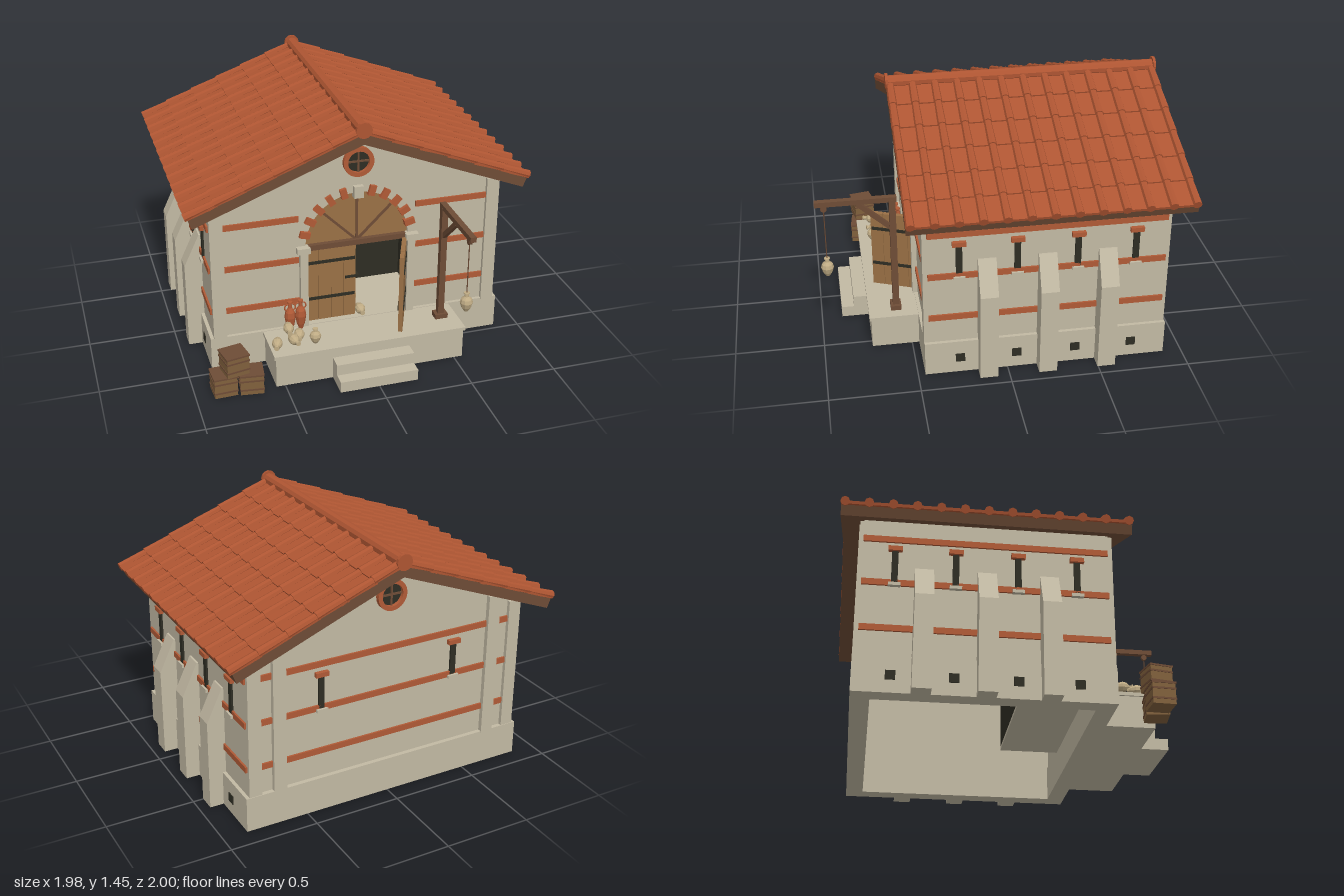
import * as THREE from 'three';

const mat = (name, color, extra = {}) => {
  const m = new THREE.MeshStandardMaterial({ color, ...extra });
  m.name = name;
  return m;
};

export function createModel() {
  const stone = mat('stone', 0xc2b9a3);
  const terracotta = mat('terracotta', 0xb05a36, { flatShading: true });
  const tile = mat('roofTile', 0xae5532, { flatShading: true });
  const timber = mat('timber', 0x6e4c36);
  const wood = mat('doorWood', 0x9a7045);
  const crateWood = mat('crateWood', 0x80603c);
  const clay = mat('paleClay', 0xbfab84, { flatShading: true });
  const dark = mat('dark', 0x2e2d23, { side: THREE.DoubleSide });

  const root = new THREE.Group();
  root.name = 'warehouse';
  const group = (name, parent = root) => {
    const g = new THREE.Group();
    g.name = name;
    parent.add(g);
    return g;
  };
  const add = (parent, name, geo, m, x = 0, y = 0, z = 0) => {
    const mesh = new THREE.Mesh(geo, m);
    mesh.name = name;
    mesh.position.set(x, y, z);
    parent.add(mesh);
    return mesh;
  };
  const box = (parent, name, m, sx, sy, sz, x, y, z) =>
    add(parent, name, new THREE.BoxGeometry(sx, sy, sz), m, x, y, z);
  const extrude = (shape, depth) => new THREE.ExtrudeGeometry(shape, { depth, bevelEnabled: false, curveSegments: 20 });

  // Hollow walls: gables front and back, plain sides
  const walls = group('walls');
  const gable = (door) => {
    const s = new THREE.Shape();
    s.moveTo(-0.84, 0.19);
    if (door) {
      s.lineTo(-0.3, 0.19);
      s.lineTo(-0.3, 0.69);
      s.absarc(0, 0.69, 0.3, Math.PI, 0, true);
      s.lineTo(0.3, 0.19);
    }
    s.lineTo(0.84, 0.19);
    s.lineTo(0.84, 1.0);
    s.lineTo(0, 1.34);
    s.lineTo(-0.84, 1.0);
    s.closePath();
    return extrude(s, 0.07);
  };
  add(walls, 'frontWall', gable(true), stone, 0, 0, 0.37);
  add(walls, 'backWall', gable(false), stone, 0, 0, -0.87);
  box(walls, 'frontPlinth', stone, 1.72, 0.2, 0.1, 0, 0.1, 0.41);
  box(walls, 'backPlinth', stone, 1.72, 0.2, 0.1, 0, 0.1, -0.845);
  for (const s of [-1, 1]) {
    box(walls, 'sideWall', stone, 0.07, 0.82, 1.19, s * 0.805, 0.59, -0.215);
    box(walls, 'sidePlinth', stone, 0.1, 0.2, 1.16, s * 0.81, 0.1, -0.215);
    box(walls, 'frontPilaster', stone, 0.075, 0.79, 0.03, s * 0.8025, 0.585, 0.446);
    box(walls, 'cornerPilaster', stone, 0.075, 0.79, 0.03, s * 0.8025, 0.585, -0.876);
    box(walls, 'backPilaster', stone, 0.075, 0.86, 0.03, s * 0.66, 0.61, -0.881);
  }

  // Brick bands
  for (const y of [0.36, 0.62, 0.875]) {
    box(root, 'backBand', terracotta, 1.53, 0.034, 0.02, 0, y, -0.871);
    for (const s of [-1, 1]) {
      box(root, 'frontBand', terracotta, 0.425, 0.034, 0.02, s * 0.5525, y, 0.441);
      box(root, 'sideBand', terracotta, 0.02, 0.034, 1.305, s * 0.841, y, -0.2175);
    }
  }

  // Buttresses, slit windows and plinth vents along both sides
  const buttress = new THREE.Shape([[0.82, 0], [0.94, 0], [0.94, 0.52], [0.85, 0.71], [0.82, 0.71]]
    .map((p) => new THREE.Vector2(...p)));
  const buttressGeo = extrude(buttress, 0.1).translate(0, 0, -0.05);
  const slit = (parent, x, z, ry) => {
    const g = group('slitWindow', parent);
    g.position.set(x, 0, z);
    g.rotation.y = ry;
    box(g, 'slit', dark, 0.034, 0.2, 0.016, 0, 0.715, 0.003);
    box(g, 'slitLintel', terracotta, 0.075, 0.026, 0.04, 0, 0.818, 0.004);
    box(g, 'slitSill', stone, 0.065, 0.018, 0.04, 0, 0.608, 0.004);
  };
  for (const s of [-1, 1]) {
    for (const z of [0.115, -0.215, -0.545]) {
      const b = add(root, 'buttress', buttressGeo, stone, 0, 0, z);
      b.rotation.y = s > 0 ? 0 : Math.PI;
    }
    for (const z of [0.265, -0.05, -0.38, -0.7]) {
      slit(root, s * 0.84, z, s * Math.PI / 2);
      box(root, 'vent', dark, 0.008, 0.05, 0.052, s * 0.861, 0.095, z);
    }
    slit(root, s * 0.41, -0.87, Math.PI);
  }

  // Round gable windows
  for (const [z, ry] of [[0.44, 0], [-0.87, Math.PI]]) {
    const g = group('roundWindow');
    g.position.set(0, 1.18, z);
    g.rotation.y = ry;
    const ring = new THREE.Shape().absarc(0, 0, 0.087, 0, Math.PI * 2);
    ring.holes.push(new THREE.Path().absarc(0, 0, 0.062, 0, Math.PI * 2));
    add(g, 'windowRing', extrude(ring, 0.025), terracotta);
    add(g, 'windowGlass', new THREE.CircleGeometry(0.065, 24), dark, 0, 0, 0.004);
    box(g, 'windowBar', timber, 0.01, 0.125, 0.008, 0, 0, 0.01);
    box(g, 'windowBar', timber, 0.125, 0.01, 0.008, 0, 0, 0.01);
  }

  // Dark room behind the doorway
  const room = group('room');
  box(room, 'roomFloor', stone, 0.8, 0.02, 0.37, 0, 0.19, 0.2);
  box(room, 'roomBack', dark, 0.8, 0.8, 0.01, 0, 0.6, 0.02);
  box(room, 'roomCeiling', dark, 0.8, 0.01, 0.35, 0, 1.0, 0.195);
  for (const s of [-1, 1]) box(room, 'roomSide', dark, 0.01, 0.8, 0.35, s * 0.4, 0.6, 0.195);

  // Doorway: leaves, lintel, fanlight, jambs and arch blocks
  const doorway = group('doorway');
  for (const s of [-1, 1]) {
    const leaf = group('doorLeaf', doorway);
    leaf.position.set(s * 0.295, 0, 0.41);
    leaf.rotation.y = s > 0 ? 1.18 : 0;
    for (let i = 0; i < 4; i++) box(leaf, 'plank', wood, 0.071, 0.475, 0.025, -s * (0.037 + i * 0.0735), 0.4375, 0);
    for (const y of [0.345, 0.575]) box(leaf, 'strap', dark, 0.275, 0.018, 0.036, -s * 0.15, y, 0);
    if (s < 0) box(leaf, 'latch', dark, 0.08, 0.014, 0.04, 0.27, 0.456, 0);
    box(doorway, 'jamb', stone, 0.045, 0.48, 0.09, s * 0.315, 0.43, 0.425);
    box(doorway, 'impost', stone, 0.075, 0.035, 0.1, s * 0.318, 0.683, 0.43);
  }
  box(doorway, 'lintel', timber, 0.57, 0.032, 0.06, 0, 0.685, 0.422);
  const fan = new THREE.Shape().absarc(0, 0, 0.3, 0, Math.PI);
  fan.closePath();
  add(doorway, 'fanlight', extrude(fan, 0.03), wood, 0, 0.69, 0.395);
  for (const a of [-0.79, 0, 0.79]) {
    const spoke = box(doorway, 'fanSpoke', timber, 0.013, 0.28, 0.012, -Math.sin(a) * 0.14, 0.69 + Math.cos(a) * 0.14, 0.428);
    spoke.rotation.z = a;
  }
  for (let i = 1; i <= 11; i++) {
    const a = i * Math.PI / 12, key = i === 6, r = key ? 0.31 : 0.316;
    const b = box(doorway, key ? 'keystone' : 'archBlock', key ? stone : terracotta, key ? 0.07 : 0.06, key ? 0.055 : 0.038,
      key ? 0.06 : 0.04, Math.cos(a) * r, 0.69 + Math.sin(a) * r, 0.44);
    b.rotation.z = a;
  }

  // Loading platform and steps
  const platform = group('platform');
  box(platform, 'platformBase', stone, 1.1, 0.18, 0.27, 0, 0.09, 0.592);
  box(platform, 'platformSlab', stone, 1.12, 0.02, 0.28, 0, 0.187, 0.597);
  box(platform, 'upperStep', stone, 0.45, 0.13, 0.11, 0, 0.065, 0.755);
  box(platform, 'lowerStep', stone, 0.45, 0.065, 0.16, 0, 0.0325, 0.802);

  // Roof slopes with overlapping courses and round cover tiles
  const roof = group('roof');
  const slopeLen = 1.04, tilt = 0.375, depth = 1.545, courses = 6, step = slopeLen / courses;
  const coverGeo = new THREE.CylinderGeometry(0.025, 0.021, step + 0.015, 8);
  for (const s of [-1, 1]) {
    const side = group('roofSide', roof);
    side.position.set(0, 0, -0.2225);
    side.rotation.y = s > 0 ? 0 : Math.PI;
    const slope = group('roofSlope', side);
    slope.position.y = 1.378;
    slope.rotation.z = -tilt;
    box(slope, 'roofDeck', timber, slopeLen, 0.056, depth, slopeLen / 2 - 0.006, -0.028, 0);
    for (let c = 0; c < courses; c++) {
      const u = (c + 0.5) * step;
      const pan = box(slope, 'panCourse', tile, step + 0.012, 0.016, depth, u, 0.008, 0);
      pan.rotation.z = 0.05;
      for (let i = 0; i < 13; i++) {
        const cover = add(slope, 'coverTile', coverGeo, tile, u, 0.017, -0.7525 + i * 0.1254);
        cover.rotation.z = -Math.PI / 2 + 0.02;
      }
    }
  }
  const ridge = add(roof, 'ridgeCap', new THREE.CylinderGeometry(0.036, 0.036, 1.54, 10), tile, 0, 1.395, -0.2225);
  ridge.rotation.x = Math.PI / 2;
  for (const z of [0.548, -0.992]) {
    const end = add(roof, 'ridgeEnd', new THREE.CylinderGeometry(0.046, 0.046, 0.016, 12), tile, 0, 1.399, z);
    end.rotation.x = Math.PI / 2;
  }

  // Jars: height h, belly radius r, optionally with two handles
  const jar = (name, m, h, r, x, y, z, handles) => {
    const g = group(name);
    g.position.set(x, y, z);
    const profile = [[0, 0], [0.35, 0.02], [0.75, 0.22], [1, 0.48], [0.85, 0.66], [0.36, 0.8], [0.32, 0.93], [0.48, 0.95], [0.46, 1], [0, 1]];
    add(g, 'jarBody', new THREE.LatheGeometry(profile.map(([a, b]) => new THREE.Vector2(a * r, b * h)), 10), m);
    if (handles) for (const s of [-1, 1]) {
      const ear = add(g, 'jarHandle', new THREE.TorusGeometry(0.022, 0.004, 5, 8, Math.PI), m, s * 0.009, h * 0.8, 0);
      ear.rotation.z = -s * Math.PI / 2;
    }
    return g;
  };
  jar('tallJar', terracotta, 0.19, 0.032, -0.408, 0.197, 0.49, true);
  jar('tallJar', terracotta, 0.19, 0.032, -0.345, 0.197, 0.485, true);
  jar('smallJar', clay, 0.095, 0.033, -0.305, 0.197, 0.652);
  const lying = [[-0.505, 0.225, 0.59, 0.3], [-0.435, 0.225, 0.575, -0.25], [-0.37, 0.225, 0.53, 0.2], [-0.435, 0.275, 0.53, 0.1],
    [0.03, 0.225, 0.36, 0], [0.03, 0.225, 0.2, 0.1], [0.03, 0.225, 0.05, -0.1]];
  for (const [x, y, z, turn] of lying) {
    const j = jar('lyingJar', clay, 0.11, 0.031, x, y, z);
    j.rotation.set(Math.PI / 2, 0, turn);
  }

  // Hoist with hanging jar
  const hoist = group('hoist');
  box(hoist, 'hoistFoot', timber, 0.075, 0.03, 0.06, 0.462, 0.21, 0.58);
  box(hoist, 'hoistPost', timber, 0.036, 0.7, 0.036, 0.462, 0.55, 0.578);
  box(hoist, 'hoistBeam', timber, 0.034, 0.03, 0.447, 0.462, 0.905, 0.7765);
  const brace = box(hoist, 'hoistBrace', timber, 0.024, 0.026, 0.25, 0.462, 0.805, 0.675);
  brace.rotation.x = -0.74;
  const pulley = add(hoist, 'pulley', new THREE.CylinderGeometry(0.018, 0.018, 0.02, 10), timber, 0.462, 0.873, 0.95);
  pulley.rotation.z = Math.PI / 2;
  add(hoist, 'rope', new THREE.CylinderGeometry(0.003, 0.003, 0.32, 6), timber, 0.462, 0.71, 0.95);
  jar('hangingJar', clay, 0.115, 0.036, 0.462, 0.447, 0.95);

  // Crates with lids and slats
  for (const [x, y, z, turn] of [[-0.838, 0, 0.685, 0.05], [-0.686, 0, 0.7, -0.12], [-0.775, 0.122, 0.685, 0.2]]) {
    const c = group('crate');
    c.position.set(x, y, z);
    c.rotation.y = turn;
    box(c, 'crateBox', crateWood, 0.128, 0.115, 0.122, 0, 0.0575, 0);
    box(c, 'crateLid', timber, 0.136, 0.01, 0.13, 0, 0.117, 0);
    box(c, 'crateSlat', timber, 0.134, 0.01, 0.128, 0, 0.085, 0);
    box(c, 'crateSlat', timber, 0.134, 0.01, 0.128, 0, 0.03, 0);
  }
  return root;
}
